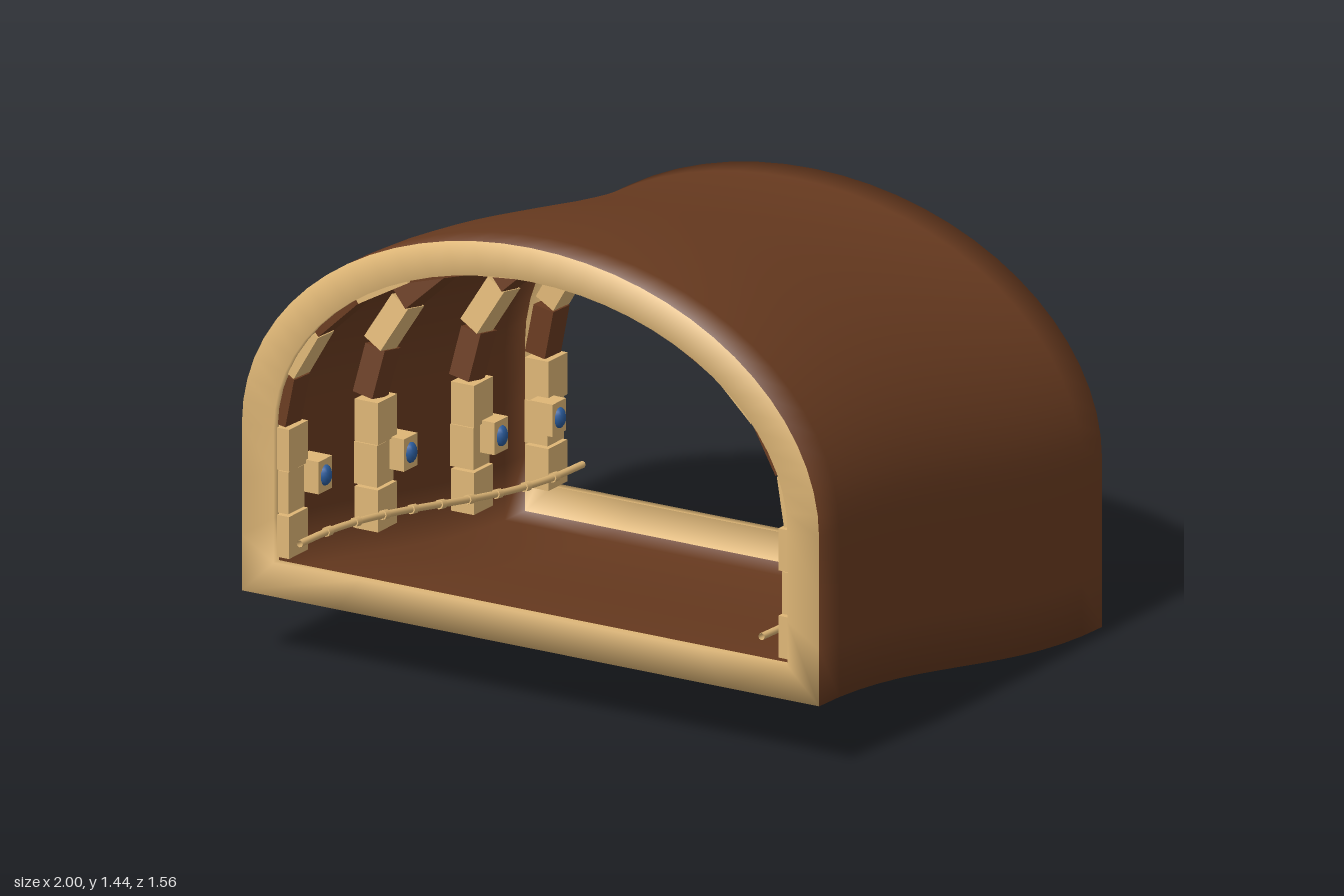
import * as THREE from 'three';

const LEN = 0.78;      // half length of the tunnel
const SPRING = 0.52;   // height where the arch starts

// Height of the tunnel base at a given z: an eased ramp, and its tilt
const ramp = (z) => {
  const t = THREE.MathUtils.clamp((z + LEN) / (2 * LEN), 0, 1);
  return 0.2 * t * t * (3 - 2 * t);
};
const tiltAt = (z) => -Math.atan((ramp(z + 0.01) - ramp(z - 0.01)) / 0.02);

const material = (name, color) => {
  const m = new THREE.MeshStandardMaterial({ color, side: THREE.DoubleSide });
  m.name = name;
  return m;
};

// Closed cross-section: flat floor, straight walls, elliptical arch
function section(halfWidth, bottom, archHeight) {
  const points = [];
  for (let i = 0; i < 6; i++) points.push([halfWidth * (-1 + i / 3), bottom]);
  const wall = [0, 1 / 3, 2 / 3].map((t) => bottom + (SPRING - bottom) * t);
  wall.forEach((y) => points.push([halfWidth, y]));
  for (let i = 0; i <= 32; i++) {
    const a = (i / 32) * Math.PI;
    points.push([halfWidth * Math.cos(a), SPRING + archHeight * Math.sin(a)]);
  }
  points.push([-halfWidth, wall[2]], [-halfWidth, wall[1]]);
  return points;
}

// Thin shell swept along the ramp, with an inturned rim and short lip at both ends;
// all rings share vertices so the shading stays soft
function shellGeometry() {
  const outer = section(1, 0, 0.72);
  const inner = section(0.89, 0.105, 0.615);
  const n = outer.length, steps = 14, lip = LEN - 0.03;
  const rings = [[inner, -lip], [inner, -LEN]];
  for (let i = 0; i <= steps; i++) rings.push([outer, -LEN + (2 * LEN * i) / steps]);
  rings.push([inner, LEN], [inner, lip]);

  const positions = [], shell = [], rims = [];
  for (const [profile, z] of rings) {
    for (const [x, y] of profile) positions.push(x, y + ramp(z), z);
  }
  for (let i = 0; i < rings.length - 1; i++) {
    const list = i < 2 || i >= rings.length - 3 ? rims : shell;
    for (let j = 0; j < n; j++) {
      const a = i * n + j, b = i * n + ((j + 1) % n);
      list.push(a, b, b + n, a, b + n, a + n);
    }
  }
  const g = new THREE.BufferGeometry();
  g.setAttribute('position', new THREE.Float32BufferAttribute(positions, 3));
  g.setIndex([...shell, ...rims]);
  g.addGroup(0, shell.length, 0);
  g.addGroup(shell.length, rims.length, 1);
  g.computeVertexNormals();
  return g;
}

export function createModel() {
  const brown = material('earth brown', 0x693b20);
  const tan = material('sandstone', 0xdeb676);
  const blue = material('blue gem', 0x2b5c9c);

  const model = new THREE.Group();
  model.name = 'tunnel';
  const add = (parent, name, geometry, mat, x, y, z) => {
    const mesh = new THREE.Mesh(geometry, mat);
    mesh.name = name;
    mesh.position.set(x, y, z);
    parent.add(mesh);
    return mesh;
  };
  add(model, 'tunnelShell', shellGeometry(), [brown, tan], 0, 0, 0);

  // Ribs: a stacked pillar on each wall and an arch of alternating bricks
  for (const z of [0.71, 0.22, -0.31, -0.72]) {
    const rib = new THREE.Group();
    rib.name = 'rib';
    model.add(rib);
    const base = ramp(z);
    for (const side of [-1, 1]) {
      for (let i = 0; i < 3; i++) {
        const block = new THREE.BoxGeometry(0.08, 0.13, i % 2 ? 0.09 : 0.105);
        add(rib, 'pillarBlock', block, tan, side * (i % 2 ? 0.895 : 0.888), base + 0.185 + i * 0.135, z);
      }
    }
    for (let i = 0; i < 12; i++) {
      const point = (deg) => {
        const a = THREE.MathUtils.degToRad(deg);
        return new THREE.Vector2(0.9 * Math.cos(a), SPRING + 0.645 * Math.sin(a));
      };
      const a = point(i * 15), b = point(i * 15 + 15);
      const mid = a.clone().add(b).multiplyScalar(0.5);
      const chord = b.clone().sub(a);
      const brick = new THREE.BoxGeometry(chord.length() - 0.018, 0.07, 0.09);
      const mesh = add(rib, 'archBrick', brick, i % 2 ? brown : tan, mid.x, mid.y + base, z);
      mesh.rotation.set(tiltAt(z), 0, Math.atan2(chord.y, chord.x));
    }
  }

  // Wall lamps: a stone bracket with a blue gem
  const bracket = new THREE.BoxGeometry(0.08, 0.1, 0.075);
  const gem = new THREE.SphereGeometry(0.028, 12, 8);
  for (const side of [-1, 1]) {
    for (const z of [0.63, 0.16, -0.34, -0.66]) {
      const lamp = new THREE.Group();
      lamp.name = 'wallLamp';
      lamp.position.set(side * 0.845, ramp(z) + 0.355, z);
      model.add(lamp);
      add(lamp, 'lampBracket', bracket, tan, 0, 0, 0);
      add(lamp, 'lampGem', gem, blue, -side * 0.04, 0, 0).scale.set(0.65, 1.15, 0.9);
    }

    // Handrail following the ramp, with small collars
    const path = [];
    for (let i = 0; i <= 10; i++) {
      const z = LEN - (2 * LEN * i) / 10;
      path.push(new THREE.Vector3(side * 0.8, ramp(z) + 0.18, z));
    }
    const rail = new THREE.TubeGeometry(new THREE.CatmullRomCurve3(path), 30, 0.011, 8);
    add(model, 'handrail', rail, tan, 0, 0, 0);
    for (const p of path.slice(1, -1)) {
      const collar = new THREE.CylinderGeometry(0.015, 0.015, 0.025, 8).rotateX(Math.PI / 2);
      add(model, 'railCollar', collar, tan, p.x, p.y, p.z).rotation.x = tiltAt(p.z);
    }
  }
  return model;
}
